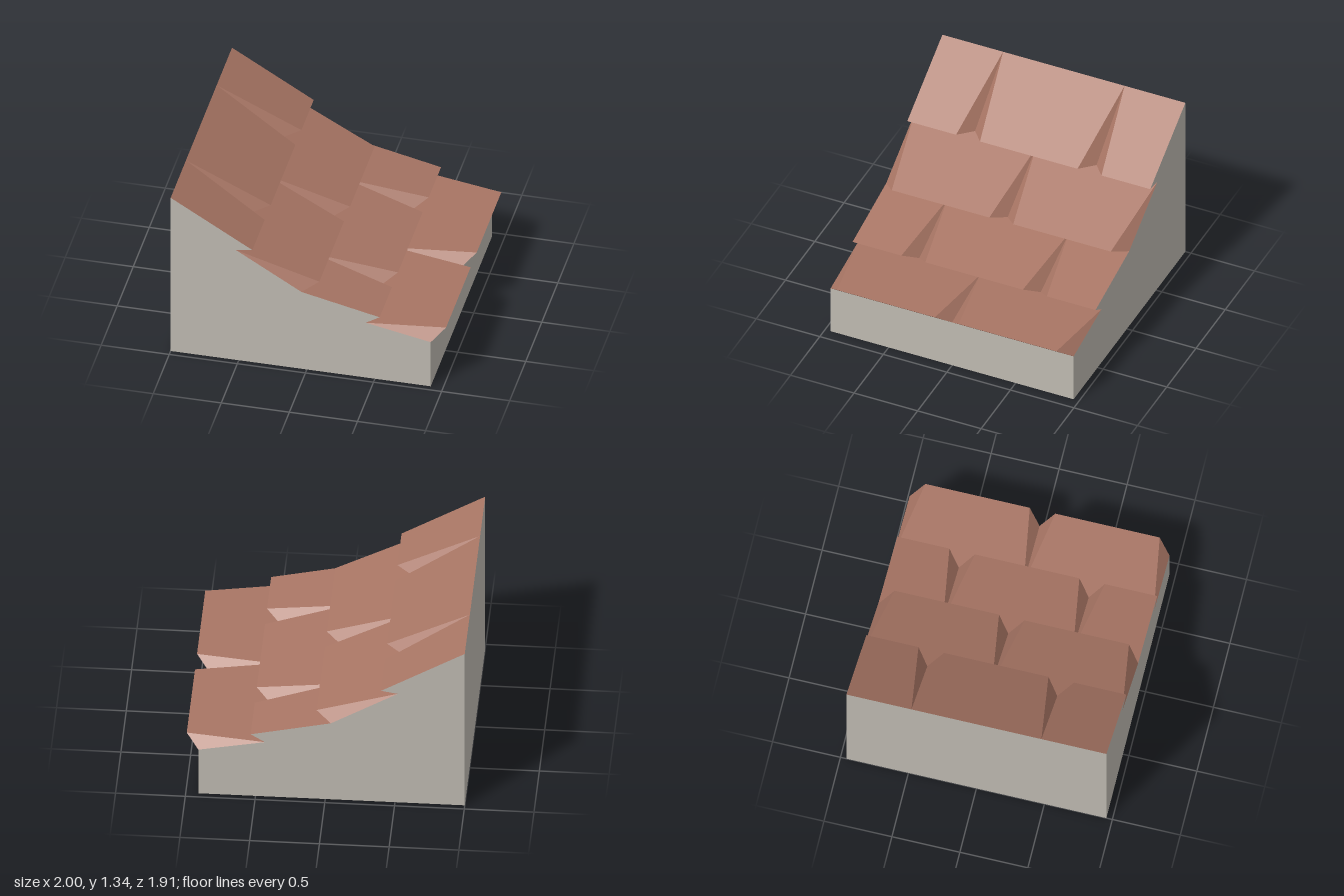
import * as THREE from 'three';

const HALF = 0.956; // half depth of the block
const GAP = 0.094;  // half width of a gap between tiles at the lower edge

// Each course: upper edge, projecting lip, and the tuck under the lip, as [x, y]
const courses = [
  { top: [-1, 1.34], lip: [-0.4, 0.98], tuck: [-0.52, 0.96], joints: [-0.478, 0.478], endGap: false },
  { top: [-0.52, 0.96], lip: [0.07, 0.715], tuck: [-0.04, 0.672], joints: [0], endGap: true },
  { top: [-0.04, 0.672], lip: [0.535, 0.543], tuck: [0.432, 0.479], joints: [-0.478, 0.478], endGap: false },
  { top: [0.432, 0.479], lip: [1, 0.464], tuck: [0.91, 0.386], joints: [0], endGap: true },
];

// Flat-faced geometry from convex polygons, corners counter-clockwise from outside
function facesGeometry(faces) {
  const pos = [];
  for (const f of faces) {
    for (let i = 1; i < f.length - 1; i++) pos.push(...f[0], ...f[i], ...f[i + 1]);
  }
  const g = new THREE.BufferGeometry();
  g.setAttribute('position', new THREE.Float32BufferAttribute(pos, 3));
  g.computeVertexNormals();
  return g;
}

// One tile: sloping top, underside of the lip, and tapering cheeks beside the gaps
function tileGeometry({ top, lip, tuck }, z0, z1, gap0, gap1) {
  const A0 = [...top, z0], A1 = [...top, z1];
  const V0 = [...tuck, z0], V1 = [...tuck, z1];
  const T0 = [...lip, z0 + gap0], T1 = [...lip, z1 - gap1];
  const faces = [[A1, T1, T0, A0], [T1, V1, V0, T0]];
  if (gap1) faces.push([A1, V1, T1]);
  if (gap0) faces.push([A0, T0, V0]);
  return facesGeometry(faces);
}

export function createModel() {
  const model = new THREE.Group();
  model.name = 'tiledRoofBlock';

  const clay = new THREE.MeshStandardMaterial({ color: 0xa87564 });
  clay.name = 'clay';
  const stone = new THREE.MeshStandardMaterial({ color: 0xc0bbb2 });
  stone.name = 'stone';

  const add = (parent, name, geometry, material) => {
    const mesh = new THREE.Mesh(geometry, material);
    mesh.name = name;
    parent.add(mesh);
    return mesh;
  };

  // Staggered courses of tiles
  courses.forEach((course, row) => {
    const group = new THREE.Group();
    group.name = `tileCourse${row + 1}`;
    const edges = [-HALF, ...course.joints, HALF];
    const last = edges.length - 2;
    for (let i = 0; i <= last; i++) {
      const gap0 = i > 0 || course.endGap ? GAP : 0;
      const gap1 = i < last || course.endGap ? GAP : 0;
      add(group, `tile${i + 1}`, tileGeometry(course, edges[i], edges[i + 1], gap0, gap1), clay);
    }
    model.add(group);
  });

  // Gable walls follow the stepped outline of the tiles
  const outline = [[-1, 0], [0.91, 0], [0.91, 0.386]];
  for (const c of [...courses].reverse()) {
    if (!c.endGap) outline.push(c.lip);
    outline.push(c.top);
  }
  const shape = new THREE.Shape(outline.map(([x, y]) => new THREE.Vector2(x, y)));
  const gable = new THREE.ShapeGeometry(shape);
  add(model, 'frontGable', gable, stone).position.z = HALF;
  const backGable = gable.clone();
  const index = backGable.index.array;
  for (let i = 0; i < index.length; i += 3) [index[i], index[i + 1]] = [index[i + 1], index[i]];
  backGable.computeVertexNormals();
  add(model, 'backGable', backGable, stone).position.z = -HALF;

  // Tall wall, low wall and floor
  const p = (x, y, side) => [x, y, side * HALF];
  add(model, 'tallWall', facesGeometry([[p(-1, 0, -1), p(-1, 0, 1), p(-1, 1.34, 1), p(-1, 1.34, -1)]]), stone);
  add(model, 'lowWall', facesGeometry([[p(0.91, 0, 1), p(0.91, 0, -1), p(0.91, 0.386, -1), p(0.91, 0.386, 1)]]), stone);
  add(model, 'floor', facesGeometry([[p(-1, 0, -1), p(0.91, 0, -1), p(0.91, 0, 1), p(-1, 0, 1)]]), stone);

  return model;
}
